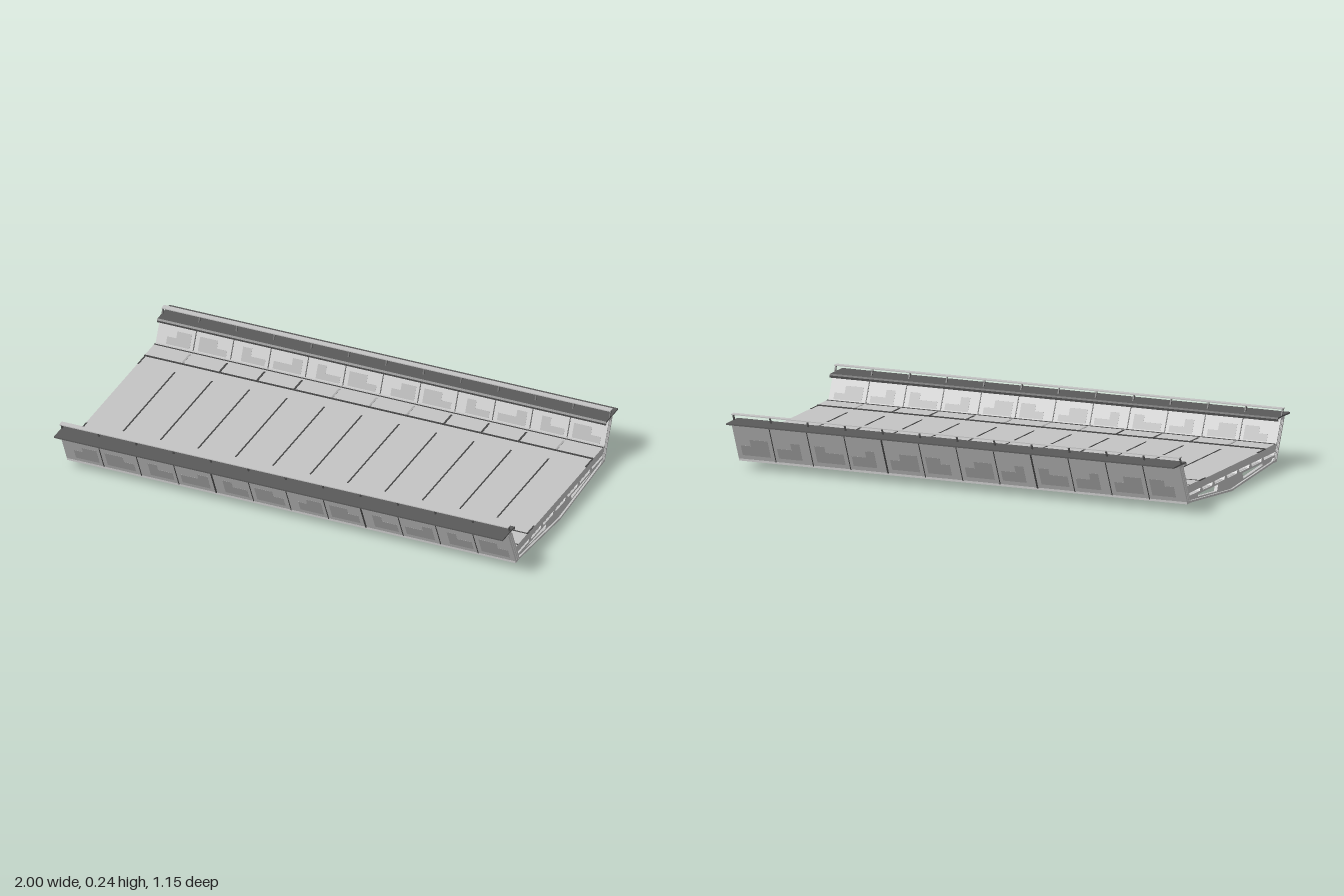
import * as THREE from 'three';

const mat = (name, color) => Object.assign(new THREE.MeshStandardMaterial({ color }), { name });

export function createModel() {
  const root = new THREE.Group();
  root.name = 'troughBridge';
  const concrete = mat('light concrete', 0xc4c4c4);
  const weathered = mat('weathered concrete', 0xababab);
  const darkMetal = mat('dark metal', 0x5a5a5a);
  const seam = mat('seam grey', 0x484848);

  const group = (name) => {
    const g = new THREE.Group();
    g.name = name;
    root.add(g);
    return g;
  };
  const toShape = (pts, Type = THREE.Shape) =>
    new Type(pts.map(([z, y]) => new THREE.Vector2(z, y)));

  // Prism with a (z, y) section running along x from x0 to x1
  const prism = (parent, name, pts, x0, x1, material, holes = []) => {
    const shape = toShape(pts);
    shape.holes = holes.map((h) => toShape(h, THREE.Path));
    const geo = new THREE.ExtrudeGeometry(shape, { depth: x1 - x0, bevelEnabled: false });
    geo.rotateY(-Math.PI / 2).translate(x1, 0, 0);
    const mesh = new THREE.Mesh(geo, material);
    mesh.name = name;
    parent.add(mesh);
  };
  const rect = (z0, z1, y0, y1) => [[z0, y0], [z1, y0], [z1, y1], [z0, y1]];
  const flip = (pts, side) => pts.map(([z, y]) => [z * side, y]);

  const panel = 1 / 6;
  const joints = Array.from({ length: 11 }, (_, i) => (i - 5) * panel);

  // Deck slab with transverse joints
  const deck = group('deck');
  prism(deck, 'deckSlab', [[-0.42, 0.078], [0.42, 0.078], [0.437, 0.108], [-0.437, 0.108]], -1, 1, concrete);
  for (const x of joints) prism(deck, 'deckJoint', rect(-0.255, 0.255, 0.107, 0.1095), x - 0.003, x + 0.003, seam);

  // Tapered stringers under the deck
  const stringers = group('stringers');
  for (let i = 0; i < 6; i++) {
    const z = -0.302 + i * 0.1208;
    prism(stringers, 'stringer', [[z - 0.017, 0.062], [z + 0.017, 0.062], [z + 0.007, 0.079], [z - 0.007, 0.079]], -1, 1, concrete);
  }

  // Cross beams: pierced web between a flat top and a V-shaped bottom flange
  const beams = group('crossBeams');
  const bottomFlange = [[-0.44, 0.038], [0, 0.001], [0.44, 0.038], [0.44, 0.046], [0, 0.009], [-0.44, 0.046]];
  const web = [[-0.42, 0.042], [0, 0.007], [0.42, 0.042], [0.42, 0.065], [-0.42, 0.065]];
  const opening = [[0.13, 0.026], [0.318, 0.042], [0.318, 0.055], [0.118, 0.055]];
  const beam = (x0, x1, webInset) => {
    prism(beams, 'bottomFlange', bottomFlange, x0, x1, concrete);
    prism(beams, 'topFlange', rect(-0.42, 0.42, 0.056, 0.064), x0, x1, concrete);
    prism(beams, 'web', web, x0 + webInset, x1 - webInset, concrete, [opening, flip(opening, -1)]);
  };
  for (const [x0, x1] of [[-1, -0.97], [-0.53, -0.47], [-0.035, -0.006], [0.006, 0.035], [0.47, 0.53], [0.97, 1]])
    beam(x0, x1, 0.008);

  for (const side of [1, -1]) {
    const label = side > 0 ? 'front' : 'back';
    const bar = (g, name, pts, x0, x1, m) => prism(g, name, flip(pts, side), x0, x1, m);

    // Raised walkway edge beside the wall
    const edge = group(label + 'DeckEdge');
    bar(edge, 'edgeStrip', [[0.325, 0.107], [0.435, 0.107], [0.437, 0.111], [0.325, 0.111]], -1, 1, concrete);
    bar(edge, 'edgeLine', rect(0.323, 0.329, 0.107, 0.1125), -1, 1, seam);
    bar(edge, 'gutterLine', rect(0.419, 0.424, 0.11, 0.113), -1, 1, seam);
    bar(edge, 'lowerEdge', rect(0.315, 0.42, 0.06, 0.066), -1, 1, concrete);
    for (const x of [-1, 0.994]) bar(edge, 'endLine', rect(0.255, 0.325, 0.107, 0.1095), x, x + 0.006, seam);
    joints.forEach((x, i) => {
      const dark = [2, 3, 4].includes(Math.abs(i - 5));
      bar(edge, 'edgeJoint', rect(0.329, 0.405, 0.11, 0.1125), x - 0.004, x + 0.004, dark ? seam : weathered);
    });

    // Leaning wall: two skins around a recessed core
    const wall = group(label + 'Wall');
    const at = (o, t) => [0.442 + 0.076 * t + o, 0.04 + 0.165 * t];
    const strip = (name, o0, o1, t0, t1, x0, x1, m) =>
      bar(wall, name, [at(o0, t0), at(o1, t0), at(o1, t1), at(o0, t1)], x0, x1, m);
    strip('outerSkin', -0.01, 0, 0, 1, -1, 1, concrete);
    strip('innerSkin', -0.037, -0.029, 0, 0.97, -1, 1, concrete);
    strip('wallCore', -0.03, -0.009, 0, 1, -0.992, 0.992, weathered);
    for (const x of [-1, 0.99]) strip('endRib', -0.023, -0.016, 0, 1, x, x + 0.01, concrete);
    bar(wall, 'wallFoot', rect(0.405, 0.444, 0.035, 0.044), -1, 1, concrete);

    // Panel seams on both wall faces
    joints.forEach((x, i) => {
      const w = i === 3 || i === 7 ? 0.0035 : 0.0018;
      strip('outerSeam', -0.001, 0.0015, 0, 1, x - w, x + w, seam);
      strip('innerSeam', -0.0385, -0.036, 0.43, 0.97, x - 0.002, x + 0.002, seam);
    });

    // Stepped weathered patches on each panel
    for (let i = 0; i < 12; i++) {
      const x = -1 + i * panel;
      const [a, b, c] = i % 2 ? [0.02, 0.1, 0.145] : [0.045, 0.085, 0.15];
      const [hA, hB] = i % 3 ? [0.58, 0.4] : [0.42, 0.58];
      for (const [x0, x1, top] of [[x + a, x + b, hA], [x + b, x + c, hB]]) {
        strip('outerPatch', -0.001, 0.001, 0.13, top, x0, x1, weathered);
        strip('innerPatch', -0.038, -0.036, 0.45, top + 0.2, x0, x1, weathered);
      }
    }

    // Wall coping with a turned-down inner lip
    const coping = group(label + 'Coping');
    bar(coping, 'copingPlate', rect(0.455, 0.573, 0.209, 0.215), -1, 1, darkMetal);
    bar(coping, 'copingLip', [[0.455, 0.215], [0.448, 0.209], [0.451, 0.199], [0.456, 0.199], [0.454, 0.207], [0.46, 0.209]], -1, 1, darkMetal);
    bar(coping, 'copingSeat', [[0.482, 0.198], [0.513, 0.198], [0.516, 0.21], [0.485, 0.21]], -1, 1, concrete);

    // Low handrail on small leaning posts
    const rail = group(label + 'Rail');
    bar(rail, 'handrail', rect(0.494, 0.519, 0.24, 0.244), -1, 1, concrete);
    for (const x of [-0.997, ...joints, 0.997])
      bar(rail, 'railPost', [[0.492, 0.214], [0.499, 0.214], [0.51, 0.241], [0.504, 0.241]], x - 0.003, x + 0.003, darkMetal);
  }
  return root;
}
